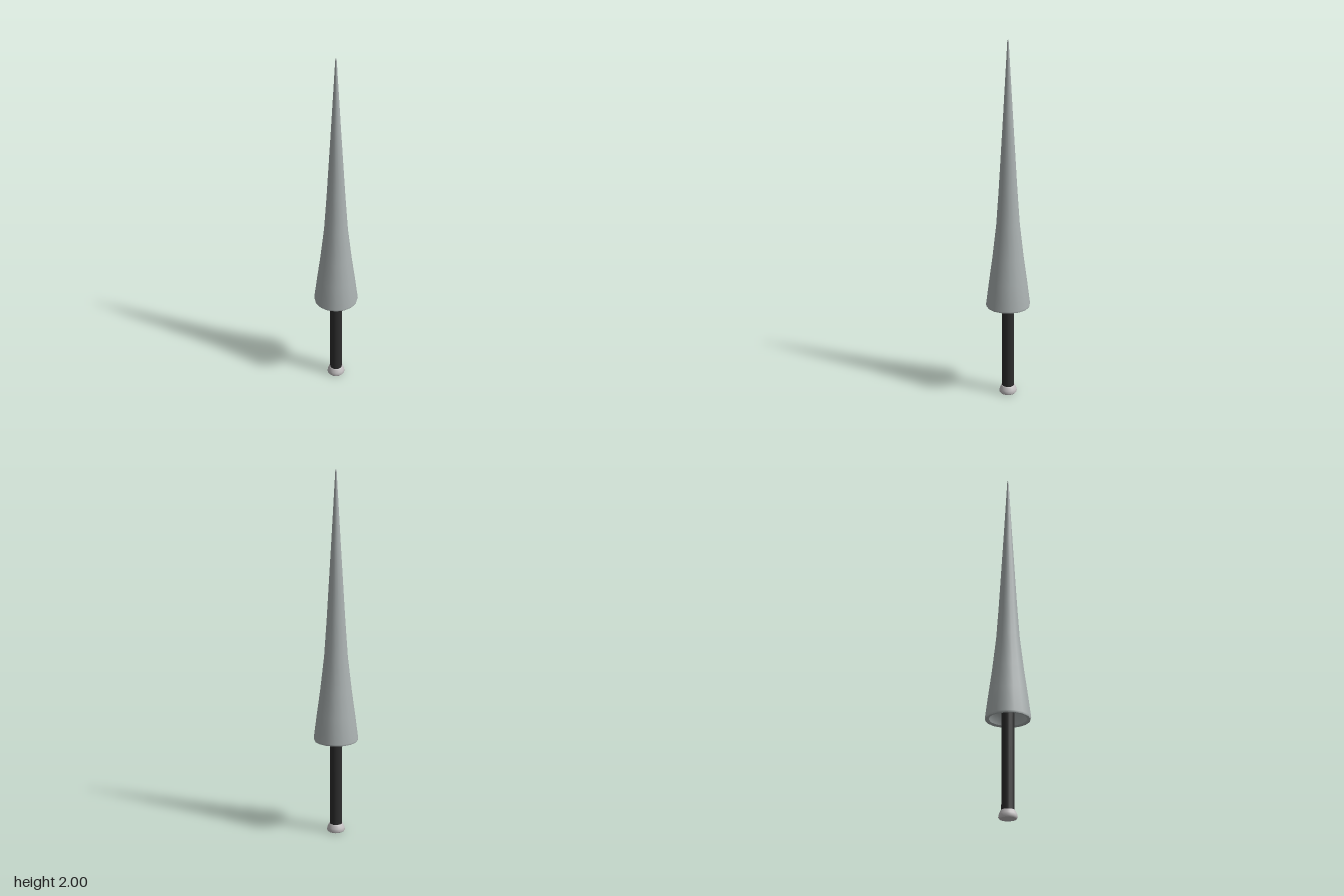
import * as THREE from 'three';

const SIDES = 16;
const TURN = THREE.MathUtils.degToRad(-4.2);

// Turned part; the profile runs from the bottom axis outwards and up.
function turned(name, profile, material) {
  const points = profile.map(([r, y]) => new THREE.Vector2(r, y));
  const mesh = new THREE.Mesh(new THREE.LatheGeometry(points, SIDES, TURN), material);
  mesh.name = name;
  return mesh;
}

function flat(name, color) {
  const material = new THREE.MeshStandardMaterial({ color });
  material.name = name;
  return material;
}

export function createModel() {
  const steel = flat('steel', 0xabb2b2);
  const grip = flat('dark grip', 0x2d2d2d);
  const pale = flat('pale metal', 0xc4c1c2);

  const lance = new THREE.Group();
  lance.name = 'lance';

  // Long flared cone
  lance.add(turned('cone', [
    [0.119, 0.53], [0.122, 0.54], [0.104, 0.68], [0.086, 0.81],
    [0.064, 1.0], [0.05, 1.2], [0.026, 1.6], [0.004, 1.985], [0, 2.0],
  ], steel));

  // Rim and hollow underside of the cone
  lance.add(turned('coneRim', [[0.1, 0.535], [0.108, 0.53], [0.119, 0.53]], steel));
  lance.add(turned('coneHollow', [[0.03, 0.61], [0.08, 0.59], [0.1, 0.535]], steel));

  // Grip running up into the hollow
  lance.add(turned('handle', [[0.034, 0.03], [0.034, 0.62]], grip));

  // Flared pommel with a flat foot and a closed top
  lance.add(turned('pommel', [
    [0.044, 0], [0.05, 0.008], [0.047, 0.024], [0.039, 0.042], [0.036, 0.045],
  ], pale));
  lance.add(turned('pommelFoot', [[0, 0.003], [0.036, 0.002], [0.044, 0]], pale));
  lance.add(turned('pommelTop', [[0.036, 0.045], [0.03, 0.045]], pale));

  return lance;
}
